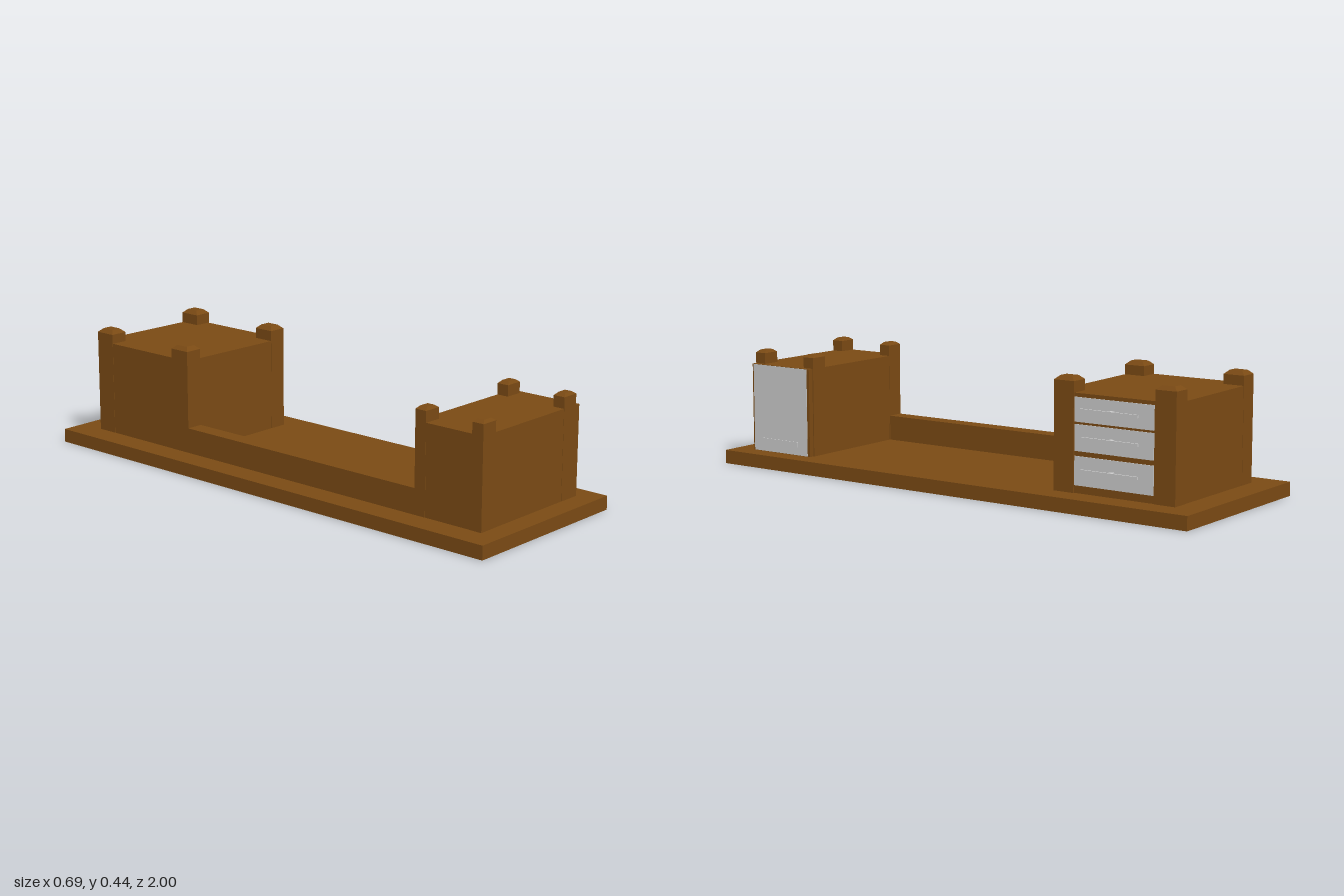
import * as THREE from 'three';

const brown = new THREE.MeshStandardMaterial({ color: 0x7a4a14, flatShading: true });
const grey = new THREE.MeshStandardMaterial({ color: 0xcccccc, flatShading: true });

// Box given by its min and max on each axis
function box(parent, name, [x0, x1], [y0, y1], [z0, z1], material = brown) {
  const geometry = new THREE.BoxGeometry(x1 - x0, y1 - y0, z1 - z0);
  geometry.translate((x0 + x1) / 2, (y0 + y1) / 2, (z0 + z1) / 2);
  const mesh = new THREE.Mesh(geometry, material);
  mesh.name = name;
  parent.add(mesh);
  return mesh;
}

// Square post with a bevelled cap
function post(parent, x, z, shoulder, top) {
  const group = new THREE.Group();
  group.name = 'cornerPost';
  box(group, 'postShaft', x, [0.05, shoulder], z);
  const cap = box(group, 'postCap', x, [shoulder, top], z);
  const p = cap.geometry.attributes.position;
  const cx = (x[0] + x[1]) / 2, cz = (z[0] + z[1]) / 2;
  for (let i = 0; i < p.count; i++) {
    if (p.getY(i) < (shoulder + top) / 2) continue;
    p.setX(i, cx + (p.getX(i) - cx) * 0.55);
    p.setZ(i, cz + (p.getZ(i) - cz) * 0.6);
  }
  cap.geometry.computeVertexNormals();
  parent.add(group);
}

// Cabinet body with four corner posts
function cabinet(name, z0, z1, depth, topLeft, topRight, shoulder, top) {
  const group = new THREE.Group();
  group.name = name;
  const body = box(group, 'cabinetBody', [-0.252, 0.25], [0.05, topLeft], [z0 + 0.001, z1 - 0.001]);
  const p = body.geometry.attributes.position;
  for (let i = 0; i < p.count; i++) {
    if (p.getY(i) > 0.2 && p.getX(i) > 0) p.setY(i, topRight);
  }
  body.geometry.computeVertexNormals();
  for (const x of [[-0.253, -0.187], [0.188, 0.255]]) {
    for (const z of [[z0, z0 + depth], [z1 - depth, z1]]) post(group, x, z, shoulder, top);
  }
  return group;
}

export function createModel() {
  const model = new THREE.Group();
  model.name = 'deskUnit';

  box(model, 'basePlate', [-0.347, 0.347], [0, 0.05], [-1, 1]);
  box(model, 'backRail', [-0.253, -0.19], [0.05, 0.143], [-0.425, 0.642]);

  // Drawer cabinet
  const drawers = cabinet('drawerCabinet', -0.9, -0.423, 0.08, 0.395, 0.39, 0.429, 0.443);
  for (const [y0, y1, yHandle] of [[0.077, 0.177, 0.133], [0.194, 0.285, 0.243], [0.293, 0.377, 0.338]]) {
    box(drawers, 'drawerFront', [0.245, 0.253], [y0, y1], [-0.815, -0.505], grey);
    box(drawers, 'drawerHandle', [0.272, 0.278], [yHandle - 0.005, yHandle + 0.005], [-0.768, -0.542], grey);
    box(drawers, 'handleStem', [0.25, 0.273], [yHandle - 0.004, yHandle + 0.004], [-0.664, -0.648], grey);
  }
  model.add(drawers);

  // Door cabinet
  const cupboard = cabinet('doorCabinet', 0.642, 0.922, 0.045, 0.375, 0.375, 0.415, 0.425);
  box(cupboard, 'doorPanel', [0.25, 0.2745], [0.05, 0.375], [0.646, 0.922]);
  box(cupboard, 'doorFace', [0.272, 0.276], [0.051, 0.374], [0.657, 0.916], grey);
  box(cupboard, 'doorHandle', [0.275, 0.279], [0.08, 0.1], [0.702, 0.872], grey);
  model.add(cupboard);

  return model;
}
